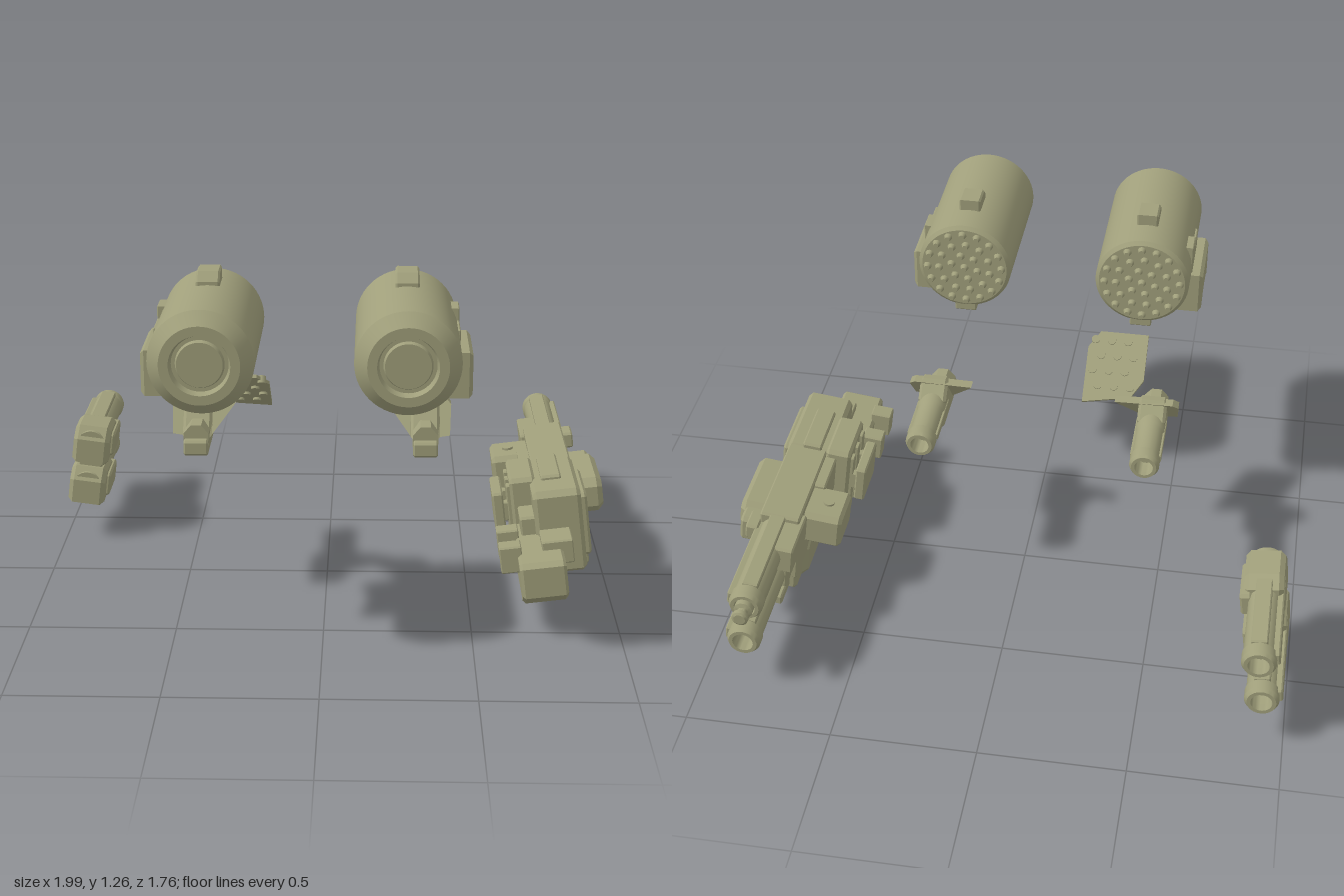
import * as THREE from 'three';
import { toCreasedNormals } from 'three/addons/utils/BufferGeometryUtils.js';

const olive = new THREE.MeshStandardMaterial({ color: 0xa09f7b });
olive.name = 'olive armour';

function add(parent, name, geometry) {
  const mesh = new THREE.Mesh(geometry, olive);
  mesh.name = name;
  parent.add(mesh);
  return mesh;
}

// Side profile of [z, y] points, extruded from x0 to x1 with chamfered ends
function slab(parent, name, points, xa, xb, c = 0.006) {
  const x0 = Math.min(xa, xb), x1 = Math.max(xa, xb);
  const shape = new THREE.Shape(points.map(([z, y]) => new THREE.Vector2(z, y)));
  const geo = new THREE.ExtrudeGeometry(shape, {
    depth: x1 - x0 - 2 * c, bevelEnabled: c > 0, bevelThickness: c,
    bevelSize: c, bevelOffset: -c, bevelSegments: 1,
  });
  geo.rotateY(-Math.PI / 2).translate(x1 - c, 0, 0);
  return add(parent, name, geo);
}

// Box with all edges chamfered by c
function box(parent, name, xa, xb, y0, y1, z0, z1, c = 0.008) {
  return slab(parent, name, [
    [z0 + c, y0], [z1 - c, y0], [z1, y0 + c], [z1, y1 - c],
    [z1 - c, y1], [z0 + c, y1], [z0, y1 - c], [z0, y0 + c],
  ], xa, xb, c * 0.7);
}

// Turned part along z from [radius, z] points
function turned(parent, name, points, x, y, sides = 28) {
  const geo = new THREE.LatheGeometry(points.map(([r, z]) => new THREE.Vector2(r, z)), sides);
  geo.rotateX(Math.PI / 2);
  return add(parent, name, toCreasedNormals(geo, 0.5).translate(x, y, 0));
}

// Barrel with an open bore, muzzle towards -z
function barrel(parent, name, x, y, r, muzzle, rear) {
  turned(parent, name, [
    [0, muzzle + 0.07], [r * 0.62, muzzle + 0.07], [r * 0.62, muzzle], [r * 0.84, muzzle],
    [r, muzzle + 0.015], [r, muzzle + 0.05], [r * 0.92, muzzle + 0.055],
    [r * 0.92, rear - 0.1], [r, rear - 0.09], [r, rear], [0, rear],
  ], x, y);
}

function rocketPod(root, cx, s) {
  const pod = new THREE.Group();
  pod.name = s > 0 ? 'leftRocketPod' : 'rightRocketPod';
  pod.position.set(cx, 0, 0);
  root.add(pod);
  const cy = 1.055;
  turned(pod, 'podBody', [
    [0, 0.31], [0.152, 0.31], [0.165, 0.322], [0.165, 0.835], [0.125, 0.88], [0.095, 0.88],
    [0.088, 0.855], [0.076, 0.855], [0.071, 0.868], [0, 0.868],
  ], 0, cy, 56);
  // Rocket tips in rings on the rear face
  [[1, 0], [6, 0.048], [11, 0.092], [16, 0.133]].forEach(([n, ring], k) => {
    for (let i = 0; i < n; i++) {
      const a = (i / n) * Math.PI * 2 + k * 0.25;
      const tip = new THREE.CylinderGeometry(0.016, 0.009, 0.02, 10);
      tip.rotateX(Math.PI / 2).translate(ring * Math.cos(a), cy + ring * Math.sin(a), 0.303);
      add(pod, 'rocketTip', tip);
    }
  });
  slab(pod, 'topLug', [[0.43, 1.2], [0.545, 1.2], [0.545, 1.23], [0.515, 1.258], [0.43, 1.258]], -0.038, 0.038);
  box(pod, 'bottomLug', -0.038, 0.038, 0.868, 0.92, 0.318, 0.358, 0.005);
  // Arched mounting bracket and stepped pad on the outer side
  slab(pod, 'sideBracket', [
    [0.41, 0.89], [0.43, 0.89], [0.48, 0.914], [0.54, 0.922], [0.6, 0.914], [0.65, 0.89],
    [0.67, 0.89], [0.67, 1.04], [0.41, 1.04],
  ], s * 0.1, s * 0.207, 0.012);
  slab(pod, 'sidePad', [
    [0.43, 1.03], [0.63, 1.03], [0.63, 1.1], [0.51, 1.1], [0.51, 1.14], [0.43, 1.14],
  ], s * 0.1, s * 0.167, 0.003);
}

function shoulderGun(root, cx, s) {
  const gun = new THREE.Group();
  gun.name = s > 0 ? 'leftShoulderGun' : 'rightShoulderGun';
  gun.position.set(cx, 0, 0);
  root.add(gun);
  barrel(gun, 'shoulderBarrel', 0, 0.628, 0.052, -0.187, 0.1);
  for (const x of [-0.046, 0.046]) box(gun, 'barrelRail', x - 0.008, x + 0.008, 0.615, 0.64, -0.13, 0.08, 0.003);
  // Octagonal cradle block below the barrel
  const cradle = new THREE.CylinderGeometry(0.055, 0.055, 0.22, 8).rotateY(Math.PI / 8);
  cradle.rotateX(Math.PI / 2).scale(0.85, 1, 1).translate(0, 0.596, 0.14);
  add(gun, 'cradle', cradle.toNonIndexed()).geometry.computeVertexNormals();
  box(gun, 'cradleFoot', -0.042, 0.042, 0.545, 0.6, 0.03, 0.277);
  slab(gun, 'cradleWedge', [
    [0.05, 0.59], [0.22, 0.59], [0.18, 0.64], [0.12, 0.71], [0.09, 0.715], [0.03, 0.66],
  ], -0.05, 0.05, 0.01);
  // Side wing with a sloped underside
  const wing = new THREE.Shape([[0.09, 0.69], [0.07, 0.71], [-0.135, 0.7], [-0.125, 0.685], [-0.04, 0.585], [0.085, 0.6]]
    .map(([x, y]) => new THREE.Vector2(x * s, y)));
  const wingGeo = new THREE.ExtrudeGeometry(wing, { depth: 0.04, bevelEnabled: false });
  const p = wingGeo.attributes.position;
  // Lean the wing back as it rises
  for (let i = 0; i < p.count; i++) p.setZ(i, p.getZ(i) + 0.17 - (p.getY(i) - 0.585) * 0.8);
  wingGeo.computeVertexNormals();
  add(gun, 'wing', wingGeo);
}

// Sloped shield plate with rows of studs
function shieldPlate(root) {
  const plate = new THREE.Group();
  plate.name = 'studdedShield';
  plate.position.set(0, 0.69, 0.1);
  plate.rotation.x = 0.9;
  root.add(plate);
  const outline = new THREE.Shape([[-0.4, 0.25], [-0.4, 0.08], [-0.36, 0.015], [-0.19, -0.015], [-0.19, 0.19], [-0.23, 0.25]]
    .map(([x, y]) => new THREE.Vector2(x, y)));
  add(plate, 'shieldSheet', new THREE.ExtrudeGeometry(outline, { depth: 0.012, bevelEnabled: false }));
  for (let row = 0; row < 4; row++) for (let col = 0; col < 3; col++) {
    const stud = new THREE.CylinderGeometry(0.015, 0.015, 0.026, 10).rotateX(Math.PI / 2);
    add(plate, 'stud', stud.translate(-0.355 + col * 0.058 + (row % 2) * 0.025, 0.05 + row * 0.056, 0.008));
  }
}

function gunGroup(root, name, x, y, tilt) {
  const gun = new THREE.Group();
  gun.name = name;
  gun.position.set(x, y, 0);
  gun.rotation.z = tilt;
  root.add(gun);
  return gun;
}

// Two stacked barrels with rails
function twinBarrels(gun, x, s) {
  for (const y of [0.118, -0.047]) {
    barrel(gun, 'barrel', x, y, 0.058, -0.82, -0.3);
    box(gun, 'topRail', x - 0.03, x + 0.025, y + 0.03, y + 0.064, -0.77, -0.4, 0.005);
    box(gun, 'sideRail', x + s * 0.04, x + s * 0.068, y - 0.025, y + 0.025, -0.79, -0.4, 0.006);
    box(gun, 'bottomRail', x - 0.025, x + 0.025, y - 0.063, y - 0.03, -0.72, -0.4, 0.005);
  }
}

function twinGun(root) {
  const gun = gunGroup(root, 'rightTwinGun', -0.91, 0.253, -0.13);
  twinBarrels(gun, 0, -1);
  for (const y of [0.113, -0.05]) {
    slab(gun, 'receiver', [
      [-0.51, y - 0.06], [-0.33, y - 0.075], [-0.29, y - 0.06], [-0.29, y + 0.03],
      [-0.33, y + 0.075], [-0.45, y + 0.075], [-0.51, y + 0.055],
    ], -0.067, 0.067, 0.016);
    box(gun, 'receiverCheek', 0.04, 0.08, y - 0.045, y + 0.045, -0.53, -0.355, 0.01);
  }
  box(gun, 'joiningBlock', -0.045, 0.045, -0.03, 0.09, -0.48, -0.34);
}

function heavyGun(root) {
  const gun = gunGroup(root, 'leftHeavyGun', 0.8, 0.25, 0.13);
  twinBarrels(gun, 0.03, 1);
  turned(gun, 'muzzleTip', [
    [0, -0.88], [0.02, -0.88], [0.028, -0.875], [0.028, -0.86], [0.018, -0.855], [0.018, -0.84],
    [0.032, -0.835], [0.032, -0.81], [0, -0.81],
  ], 0.03, 0.118, 16);
  // Barrel housings
  box(gun, 'upperHousing', -0.05, 0.09, 0.045, 0.185, -0.42, 0);
  box(gun, 'lowerHousing', -0.05, 0.09, -0.115, 0.04, -0.4, 0);
  box(gun, 'housingCollar', -0.065, 0.05, 0.06, 0.165, -0.56, -0.36);
  box(gun, 'housingCollar', -0.03, 0.085, -0.1, 0.0, -0.47, -0.36);
  box(gun, 'sight', 0.085, 0.13, 0.09, 0.15, -0.46, -0.37);
  // Core and its raised panels
  slab(gun, 'core', [
    [-0.04, -0.115], [0.29, -0.115], [0.31, -0.1], [0.31, 0.17], [0.29, 0.19], [-0.02, 0.19], [-0.04, 0.17],
  ], -0.07, 0.095, 0.014);
  box(gun, 'coreRidge', -0.03, 0.04, 0.17, 0.205, -0.03, 0.19);
  box(gun, 'coreCheek', 0.07, 0.118, -0.08, 0.15, 0.0, 0.255, 0.012);
  box(gun, 'coreShelf', 0.03, 0.11, -0.14, -0.03, -0.04, 0.19);
  box(gun, 'innerBlock', -0.14, -0.05, -0.1, 0.2, -0.04, 0.18, 0.014);
  for (const z of [-0.02, 0.05, 0.12]) box(gun, 'innerRib', -0.152, -0.12, -0.08, 0.17, z, z + 0.035, 0.004);
  box(gun, 'grip', -0.203, -0.165, -0.005, 0.14, -0.04, 0.14);
  for (const z of [-0.02, 0.1]) box(gun, 'gripLink', -0.18, -0.12, 0.03, 0.1, z, z + 0.03, 0.004);
  // Inner side plate with a round boss
  box(gun, 'sidePlate', -0.185, -0.03, 0.02, 0.155, -0.35, -0.175, 0.018);
  add(gun, 'plateBoss', new THREE.CylinderGeometry(0.02, 0.02, 0.012, 16).translate(-0.12, 0.157, -0.265));
  box(gun, 'sidePlateArm', -0.09, -0.02, 0.03, 0.17, -0.2, 0);
  // Outer drum box and lower magazine
  box(gun, 'outerBox', 0.08, 0.195, -0.032, 0.097, -0.3, 0.0, 0.028);
  box(gun, 'outerBoxCap', 0.08, 0.175, -0.02, 0.085, -0.36, -0.28, 0.014);
  box(gun, 'magazine', -0.057, 0.076, -0.245, -0.06, -0.27, 0.0, 0.035);
  box(gun, 'magazineCap', -0.04, 0.06, -0.22, -0.1, -0.35, -0.25, 0.015);
  box(gun, 'magazineLatch', -0.015, 0.035, -0.2, -0.155, -0.46, -0.34, 0.008);
  // Stepped tail with side blocks
  slab(gun, 'tail', [
    [0.17, -0.06], [0.22, -0.135], [0.475, -0.135], [0.55, -0.085], [0.55, 0.02], [0.53, 0.035], [0.17, 0.035],
  ], -0.145, 0.01, 0.01);
  box(gun, 'tailBlock', -0.06, 0.045, -0.02, 0.065, 0.325, 0.44, 0.005);
  for (const z of [0.245, 0.39]) box(gun, 'tailLug', -0.205, -0.13, -0.03, 0.065, z, z + 0.063, 0.005);
  box(gun, 'tailRoot', -0.12, 0.05, -0.115, 0.1, 0.16, 0.29);
}

export function createModel() {
  const root = new THREE.Group();
  root.name = 'weaponSet';
  rocketPod(root, 0.268, 1);
  rocketPod(root, -0.365, -1);
  shoulderGun(root, 0.342, 1);
  shoulderGun(root, -0.443, -1);
  shieldPlate(root);
  twinGun(root);
  heavyGun(root);
  return root;
}
